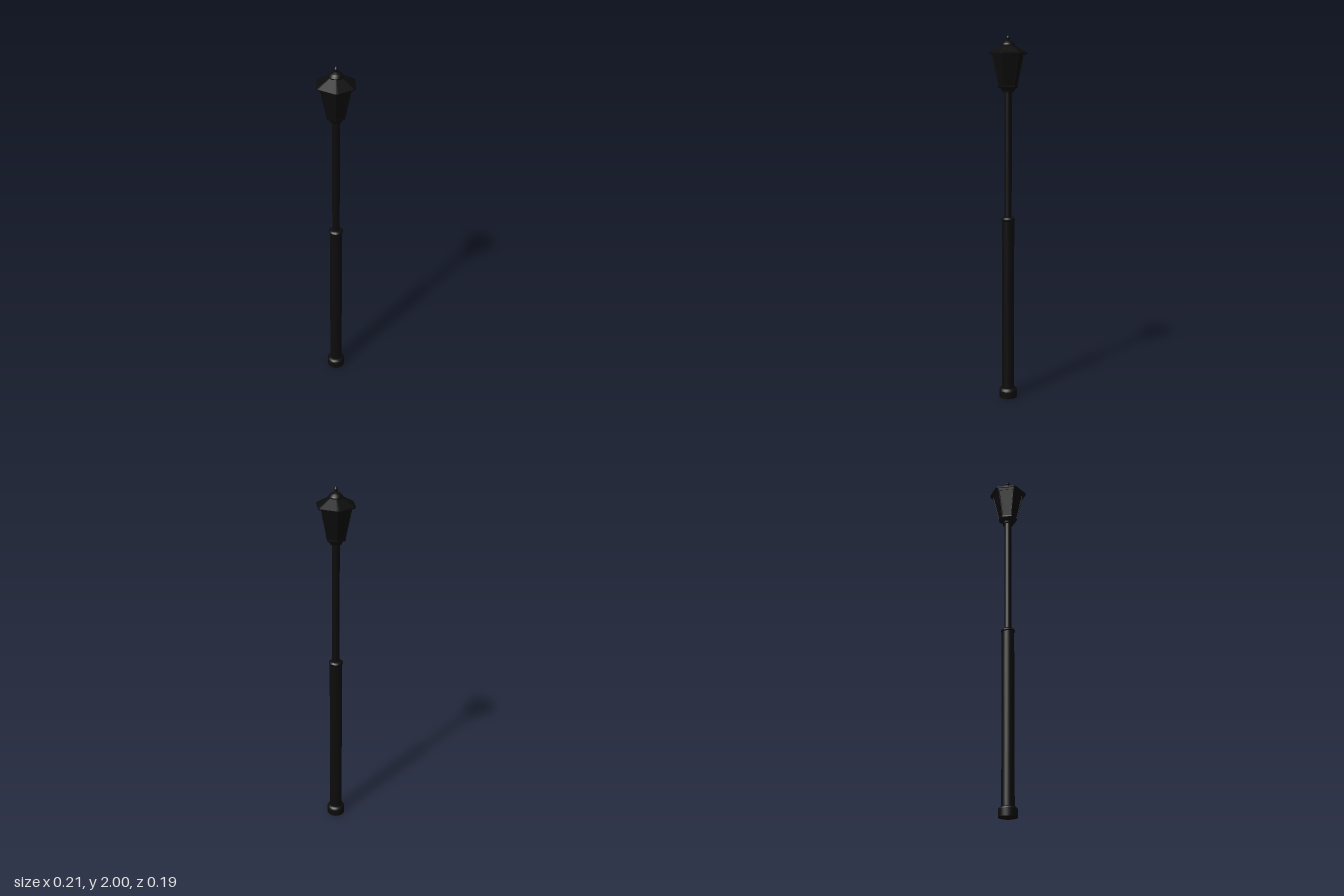
import * as THREE from 'three';

const black = new THREE.MeshStandardMaterial({ color: 0x0c0c0c });
black.name = 'black iron';

// Round part turned from [radius, height] points; doubled points keep edges crisp
function turned(name, points, segments = 32) {
  const group = new THREE.Group();
  group.name = name;
  for (let i = 0; i < points.length - 1; i++) {
    const [r0, y0] = points[i], [r1, y1] = points[i + 1];
    const pair = [new THREE.Vector2(r0, y0), new THREE.Vector2(r1, y1)];
    const mesh = new THREE.Mesh(new THREE.LatheGeometry(pair, segments), black);
    mesh.name = name + 'Section';
    group.add(mesh);
  }
  return group;
}

// Six-sided part with corners on the x axis, lofted through [corner radius, height] rings
function hexLoft(name, rings, chamfer = 0) {
  const outline = [];
  for (let i = 0; i < 6; i++) {
    const corner = k => new THREE.Vector2(Math.cos(k * Math.PI / 3), Math.sin(k * Math.PI / 3));
    const c = corner(i);
    if (chamfer) {
      const before = c.clone().lerp(corner(i - 1), chamfer);
      const after = c.clone().lerp(corner(i + 1), chamfer);
      const middle = before.clone().add(after).add(c).divideScalar(3);
      outline.push(before, middle, after);
    } else outline.push(c);
  }
  const n = outline.length, pos = [];
  const put = (ring, k) => {
    const p = outline[k % n];
    pos.push(p.x * ring[0], ring[1], p.y * ring[0]);
  };
  for (let j = 0; j < rings.length - 1; j++) {
    const a = rings[j], b = rings[j + 1];
    for (let k = 0; k < n; k++) {
      put(a, k); put(b, k); put(b, k + 1);
      put(a, k); put(b, k + 1); put(a, k + 1);
    }
  }
  const geometry = new THREE.BufferGeometry();
  geometry.setAttribute('position', new THREE.Float32BufferAttribute(pos, 3));
  geometry.computeVertexNormals();
  const mesh = new THREE.Mesh(geometry, black);
  mesh.name = name;
  return mesh;
}

// Straight round bar between two points
function bar(name, a, b, radius) {
  const mesh = new THREE.Mesh(new THREE.CylinderGeometry(radius, radius, a.distanceTo(b), 8), black);
  mesh.position.copy(a).lerp(b, 0.5);
  mesh.quaternion.setFromUnitVectors(new THREE.Vector3(0, 1, 0), b.clone().sub(a).normalize());
  mesh.name = name;
  return mesh;
}

export function createModel() {
  const model = new THREE.Group();
  model.name = 'streetLamp';

  // Post
  model.add(
    turned('base', [[0, 0], [0.05, 0], [0.05, 0.04], [0.047, 0.046], [0.04, 0.053], [0.034, 0.055]]),
    turned('lowerPost', [[0.034, 0.05], [0.034, 1.015]]),
    turned('collar', [[0.034, 1.01], [0.038, 1.015], [0.038, 1.022], [0.03, 1.03], [0.02, 1.032]]),
    turned('upperPost', [[0.02, 1.02], [0.02, 1.71]]),
    turned('lanternSocket', [[0.02, 1.702], [0.03, 1.702], [0.032, 1.712], [0.04, 1.72], [0.046, 1.73]]),
  );

  // Lantern body
  const lantern = new THREE.Group();
  lantern.name = 'lantern';
  lantern.add(
    hexLoft('lanternFloor', [[0, 1.724], [0.05, 1.724], [0.054, 1.73], [0.054, 1.738], [0.048, 1.738]]),
    hexLoft('panels', [[0.051, 1.735], [0.088, 1.908]]),
    hexLoft('topRail', [[0.083, 1.894], [0.088, 1.894], [0.091, 1.908], [0.083, 1.908]]),
  );
  for (let i = 0; i < 6; i++) {
    const a = i * Math.PI / 3;
    const at = (r, y) => new THREE.Vector3(Math.cos(a) * r, y, Math.sin(a) * r);
    lantern.add(bar('cornerBar', at(0.05, 1.735), at(0.087, 1.906), 0.003));
  }
  model.add(lantern);

  // Roof, cap and finial
  model.add(
    hexLoft('roof', [[0, 1.91], [0.085, 1.91], [0.108, 1.901], [0.109, 1.907], [0.036, 1.947], [0, 1.947]], 0.09),
    turned('roofCap', [[0.036, 1.943], [0.037, 1.95], [0.033, 1.957], [0.024, 1.965], [0.012, 1.971], [0.006, 1.973]]),
    turned('finial', [[0.006, 1.97], [0.006, 1.976], [0.011, 1.982], [0.01, 1.988], [0.005, 1.995], [0, 2]], 16),
  );
  return model;
}
